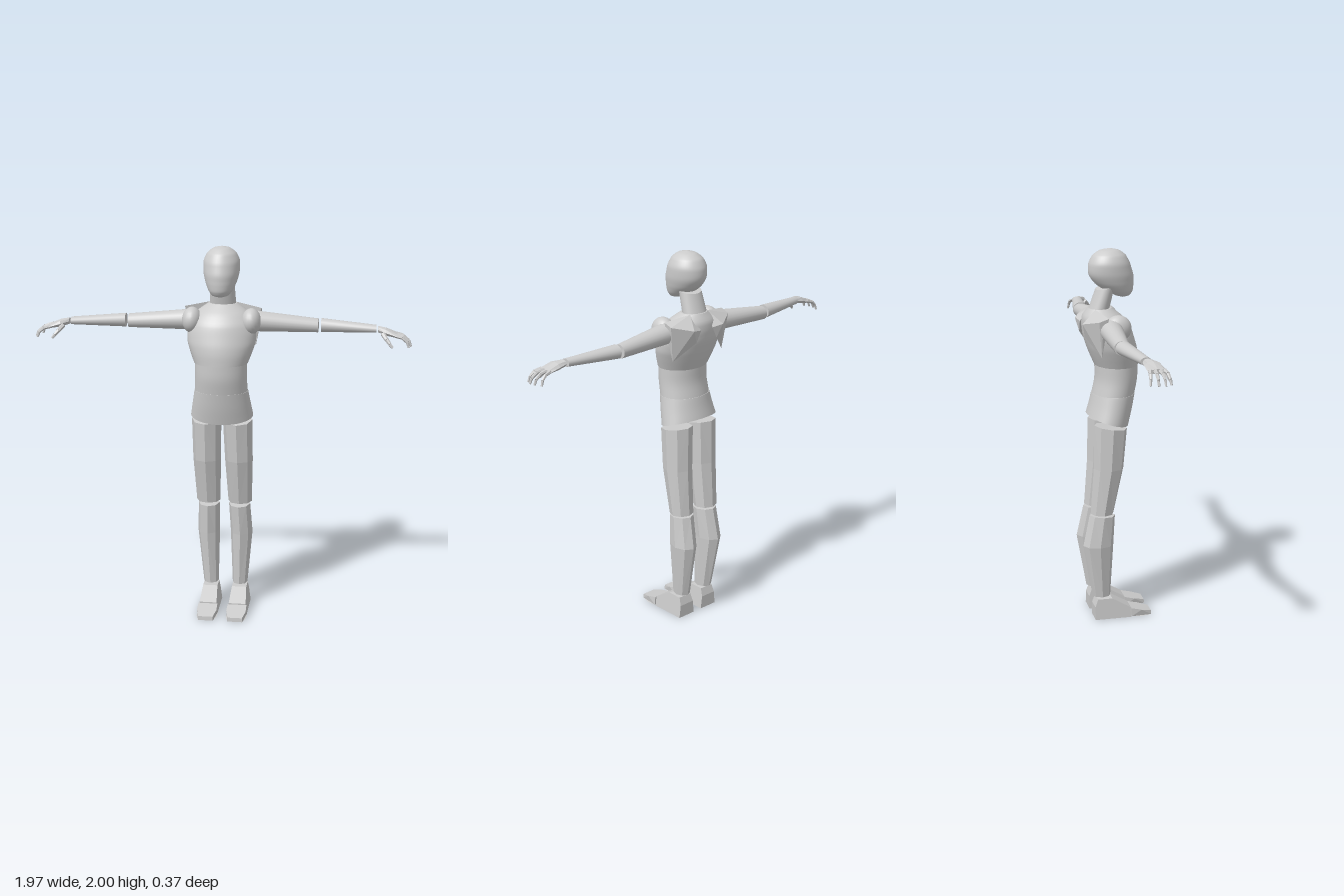
import * as THREE from 'three';
import { ConvexGeometry } from 'three/addons/geometries/ConvexGeometry.js';

const smooth = new THREE.MeshStandardMaterial({ color: 0xcccccc });
const faceted = new THREE.MeshStandardMaterial({ color: 0xcccccc, flatShading: true });

const part = (name, geometry, material = smooth) => {
  const mesh = new THREE.Mesh(geometry, material);
  mesh.name = name;
  return mesh;
};

// Rings [x, y, z, r1, r2, tilt] skinned along y (or x), with flat end caps.
function loft(rings, { n = 32, axis = 'y', steps = 0 } = {}) {
  if (steps) {
    const centres = new THREE.CatmullRomCurve3(rings.map(r => new THREE.Vector3(r[0], r[1], r[2])));
    const radii = new THREE.CatmullRomCurve3(rings.map(r => new THREE.Vector3(r[3], r[4], r[5] || 0)));
    rings = Array.from({ length: steps + 1 }, (_, i) =>
      [...centres.getPoint(i / steps).toArray(), ...radii.getPoint(i / steps).toArray()]);
  }
  const pos = [], index = [];
  const addRing = ([x, y, z, r1, r2, tilt = 0]) => {
    for (let j = 0; j < n; j++) {
      const c = Math.cos(j / n * 2 * Math.PI), s = Math.sin(j / n * 2 * Math.PI);
      if (axis === 'y') pos.push(x + r1 * c, y + tilt * r2 * s, z + r2 * s);
      else pos.push(x + tilt * r2 * c, y + r1 * s, z + r2 * c);
    }
  };
  rings.forEach(addRing);
  for (let i = 0; i < rings.length - 1; i++) {
    for (let j = 0; j < n; j++) {
      const a = i * n + j, b = i * n + (j + 1) % n;
      index.push(a, a + n, b, b, a + n, b + n);
    }
  }
  [rings[0], rings[rings.length - 1]].forEach((ring, end) => {
    const base = pos.length / 3;
    addRing(ring);
    pos.push(ring[0], ring[1], ring[2]);
    for (let j = 0; j < n; j++) {
      const a = base + j, b = base + (j + 1) % n;
      index.push(base + n, end ? b : a, end ? a : b);
    }
  });
  const g = new THREE.BufferGeometry();
  g.setAttribute('position', new THREE.Float32BufferAttribute(pos, 3));
  g.setIndex(index);
  g.computeVertexNormals();
  return g;
}

// Tapered segment between two points.
function bone(a, b, ra, rb) {
  const p = new THREE.Vector3(...a), d = new THREE.Vector3(...b).sub(p);
  const g = new THREE.CylinderGeometry(rb, ra, d.length(), 6);
  g.applyQuaternion(new THREE.Quaternion().setFromUnitVectors(new THREE.Vector3(0, 1, 0), d.clone().normalize()));
  return g.translate(...p.addScaledVector(d, 0.5).toArray());
}

// Side profile in (z, y) extruded across x, narrowing with height.
function profileBlock(points, x, width, narrow) {
  const shape = new THREE.Shape(points.map(p => new THREE.Vector2(...p)));
  const g = new THREE.ExtrudeGeometry(shape, { depth: width, bevelEnabled: false });
  g.rotateY(-Math.PI / 2).translate(width / 2, 0, 0);
  const p = g.attributes.position;
  for (let i = 0; i < p.count; i++) {
    const tip = p.getZ(i) > 0.15 ? 0.72 : 1;
    p.setX(i, x + p.getX(i) * tip * (1 - narrow * p.getY(i)));
  }
  g.computeVertexNormals();
  return g;
}

// Reflect a geometry across x = 0, keeping faces outward.
function mirrored(geometry) {
  const g = geometry.clone().scale(-1, 1, 1);
  const idx = g.index ? [...g.index.array] : [...Array(g.attributes.position.count).keys()];
  for (let i = 0; i < idx.length; i += 3) [idx[i + 1], idx[i + 2]] = [idx[i + 2], idx[i + 1]];
  g.setIndex(idx);
  return g;
}

function armParts() {
  const parts = [
    part('Shoulder', new THREE.SphereGeometry(1, 20, 14).scale(0.052, 0.068, 0.07).translate(0.155, 1.612, -0.012)),
    part('UpperArm', loft([[0.15, 1.608, -0.05, 0.055, 0.062], [0.5, 1.587, -0.073, 0.036, 0.04]], { n: 20, axis: 'x' })),
    part('Forearm', loft([[0.515, 1.59, -0.07, 0.036, 0.04], [0.8, 1.587, -0.03, 0.02, 0.028]], { n: 20, axis: 'x' })),
    part('Palm', loft([[0.808, 1.587, -0.025, 0.017, 0.025], [0.85, 1.578, -0.01, 0.021, 0.042],
      [0.908, 1.563, -0.003, 0.012, 0.046]], { n: 8, axis: 'x' }), faceted),
    // shoulder blade plate
    part('ShoulderBlade', new ConvexGeometry([[0.06, 1.695, -0.11], [0.2, 1.672, -0.07], [0.2, 1.655, -0.12],
      [0.04, 1.62, -0.17], [0.1, 1.63, -0.185], [0.172, 1.465, -0.1], [0.192, 1.58, -0.1],
      [0.07, 1.56, -0.168], [0.15, 1.6, -0.09]].map(p => new THREE.Vector3(...p))), faceted),
  ];
  // curled fingers: knuckle z, tip z, reach
  [[-0.037, -0.05, 0.965], [-0.014, -0.015, 0.982], [0.01, 0.018, 0.984], [0.031, 0.047, 0.972]].forEach(([z0, z1, reach], f) => {
    const at = t => z0 + (z1 - z0) * t, len = reach - 0.9;
    const path = [[0.9, 1.566, at(0)], [0.9 + len * 0.48, 1.558, at(0.5)],
      [0.9 + len * 0.82, 1.536, at(0.8)], [reach - 0.004, 1.51, at(1)]];
    for (let i = 0; i < 3; i++) {
      parts.push(part(`Finger${f + 1}Segment${i + 1}`, bone(path[i], path[i + 1], 0.0105 - i * 0.0015, 0.0085 - i * 0.0015), faceted));
    }
  });
  const thumb = [[0.835, 1.572, 0.02], [0.855, 1.547, 0.045], [0.872, 1.527, 0.058], [0.886, 1.51, 0.064]];
  for (let i = 0; i < 3; i++) {
    parts.push(part(`ThumbSegment${i + 1}`, bone(thumb[i], thumb[i + 1], 0.013 - i * 0.002, 0.011 - i * 0.002), faceted));
  }
  return parts;
}

function legParts() {
  return [
    part('Thigh', loft([[0.086, 0.6, -0.081, 0.064, 0.062], [0.086, 0.85, -0.046, 0.075, 0.08],
      [0.083, 1.075, -0.035, 0.079, 0.088, -0.14]], { n: 8 }), faceted),
    part('Shin', loft([[0.08, 0.125, -0.083, 0.041, 0.049], [0.09, 0.42, -0.102, 0.06, 0.082],
      [0.083, 0.587, -0.079, 0.058, 0.069, -0.06]], { n: 8 }), faceted),
    part('Foot', profileBlock([[-0.125, 0], [0.07, 0], [0.07, 0.055], [-0.03, 0.113], [-0.11, 0.113], [-0.125, 0.07]], 0.08, 0.106, 2.2), faceted),
    part('Toes', profileBlock([[0.074, 0.004], [0.13, 0], [0.188, 0], [0.186, 0.022], [0.13, 0.036], [0.074, 0.05]], 0.08, 0.112, 1.5), faceted),
  ];
}

// Both sides of a limb; an optional matrix leans the pair.
function pair(name, makeParts, lean) {
  const groups = ['left', 'right'].map(side => {
    const group = new THREE.Group();
    group.name = side + name;
    makeParts().forEach(mesh => {
      if (side === 'right') mesh.geometry = mirrored(mesh.geometry);
      if (lean) mesh.geometry.applyMatrix4(lean);
      mesh.name = side + mesh.name;
      group.add(mesh);
    });
    return group;
  });
  return groups;
}

export function createModel() {
  const model = new THREE.Group();
  model.name = 'mannequin';
  model.add(
    // egg-shaped head
    part('head', loft([[0, 1.745, 0.05, 0.002, 0.002], [0, 1.756, 0.046, 0.04, 0.038], [0, 1.78, 0.03, 0.062, 0.07],
      [0, 1.82, 0.003, 0.081, 0.101], [0, 1.87, -0.015, 0.093, 0.116], [0, 1.92, -0.023, 0.094, 0.109],
      [0, 1.965, -0.024, 0.075, 0.086], [0, 1.99, -0.022, 0.043, 0.05], [0, 2, -0.021, 0.002, 0.002]], { steps: 40, n: 40 })),
    part('neck', loft([[0, 1.67, -0.085, 0.07, 0.058, 0.2], [0, 1.8, -0.045, 0.064, 0.05, 0.2]])),
    part('chest', loft([[0, 1.395, 0.012, 0.141, 0.114], [0, 1.45, -0.001, 0.162, 0.125], [0, 1.5, -0.015, 0.178, 0.13],
      [0, 1.55, -0.03, 0.182, 0.13], [0, 1.6, -0.042, 0.172, 0.125], [0, 1.65, -0.06, 0.138, 0.104],
      [0, 1.695, -0.075, 0.074, 0.062]], { steps: 24, n: 40 })),
    part('abdomen', loft([[0, 1.24, -0.004, 0.14, 0.111], [0, 1.32, 0.011, 0.136, 0.111],
      [0, 1.398, 0.012, 0.136, 0.112]], { steps: 8, n: 40 })),
    part('pelvis', loft([[0, 1.1, -0.037, 0.166, 0.108, -0.28], [0, 1.17, -0.019, 0.154, 0.111, -0.14],
      [0, 1.242, -0.004, 0.142, 0.113]], { steps: 8, n: 40 })),
    ...pair('Arm', armParts),
    // the legs lean slightly towards the model's left at the feet
    ...pair('Leg', legParts, new THREE.Matrix4().set(1, -0.0157, 0, 0.017, 0, 1, 0, 0, 0, 0, 1, 0, 0, 0, 0, 1)),
  );
  return model;
}
